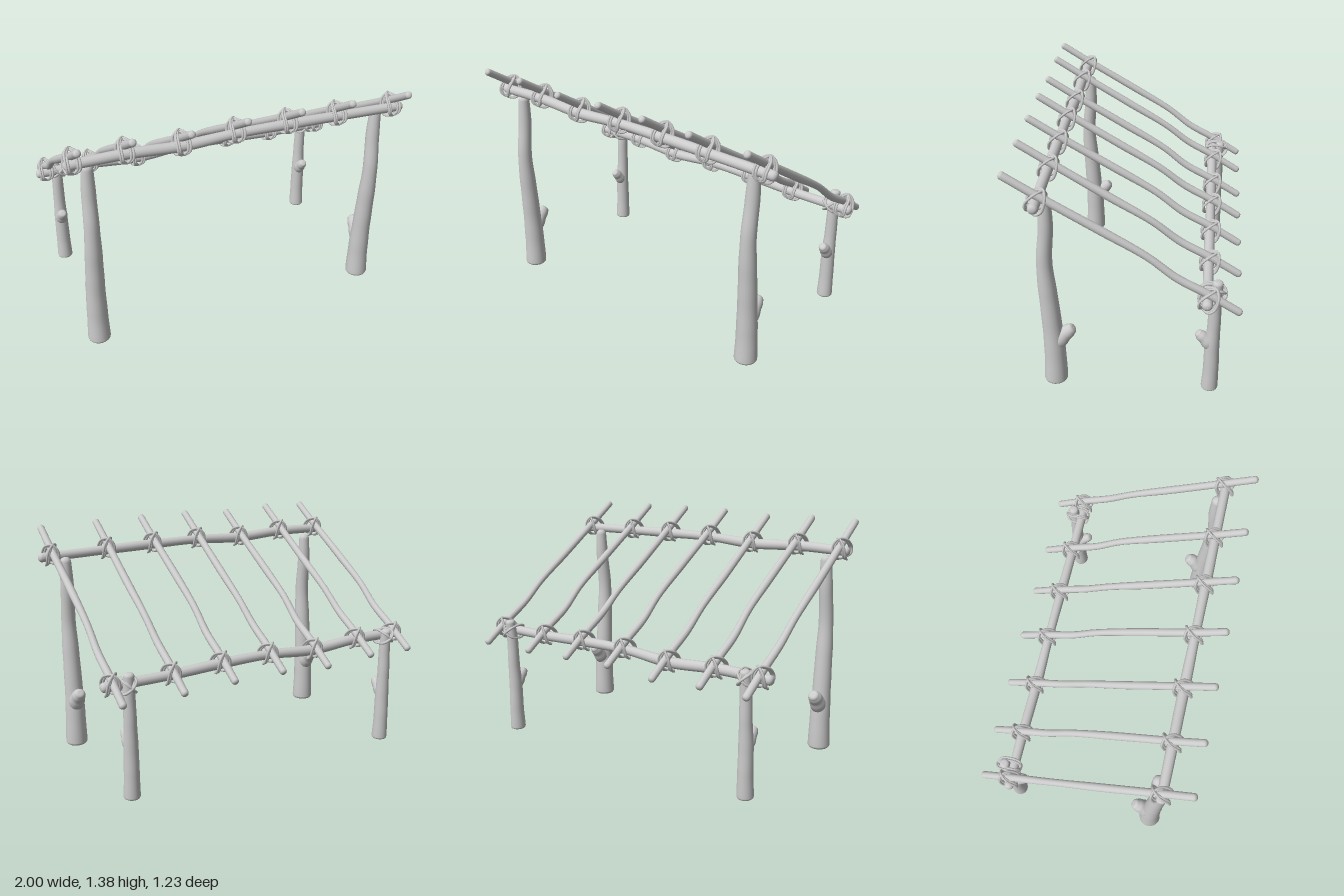
import * as THREE from 'three';

const V = (x, y, z) => new THREE.Vector3(x, y, z);
const material = new THREE.MeshStandardMaterial({ color: 0xcccccc });

// Round pole along a smooth path; radii are spread evenly, ends are bevelled (1 = fully round).
function pole(name, points, radii, { sides = 16, rings = 40, bevel = [0.8, 0.8] } = {}) {
  const curve = new THREE.CatmullRomCurve3(points);
  const length = curve.getLength();
  const radiusAt = t => {
    const f = t * (radii.length - 1), i = Math.min(Math.floor(f), radii.length - 2);
    return THREE.MathUtils.lerp(radii[i], radii[i + 1], THREE.MathUtils.smoothstep(f - i, 0, 1));
  };
  const stations = [];
  const cap = (r, b, flip) => {
    const list = [[0, 0.0005]];
    for (let k = 0; k <= 5; k++) {
      const a = k / 5 * Math.PI / 2;
      list.push([b * r * (1 - Math.cos(a)) / length, r * (1 - b + b * Math.sin(a))]);
    }
    return flip ? list.reverse().map(([t, q]) => [1 - t, q]) : list;
  };
  const head = cap(radii[0], bevel[0], false), tail = cap(radii[radii.length - 1], bevel[1], true);
  const t0 = head[head.length - 1][0], t1 = tail[0][0];
  stations.push(...head);
  for (let i = 1; i < rings; i++) {
    const t = t0 + (t1 - t0) * i / rings;
    stations.push([t, radiusAt(t)]);
  }
  stations.push(...tail);

  const ref = Math.abs(curve.getTangentAt(0.5).x) > 0.8 ? V(0, 1, 0) : V(1, 0, 0);
  const pos = [], index = [];
  stations.forEach(([t, r], i) => {
    const c = curve.getPointAt(t), tan = curve.getTangentAt(t);
    const u = ref.clone().cross(tan).normalize(), v = tan.clone().cross(u);
    for (let j = 0; j < sides; j++) {
      const a = j / sides * Math.PI * 2;
      const p = c.clone().addScaledVector(u, r * Math.cos(a)).addScaledVector(v, r * Math.sin(a));
      pos.push(p.x, p.y, p.z);
      if (i) {
        const n = (j + 1) % sides, A = (i - 1) * sides, B = i * sides;
        index.push(A + j, A + n, B + j, A + n, B + n, B + j);
      }
    }
  });
  const geo = new THREE.BufferGeometry();
  geo.setAttribute('position', new THREE.Float32BufferAttribute(pos, 3));
  geo.setIndex(index);
  geo.computeVertexNormals();
  const mesh = new THREE.Mesh(geo, material);
  mesh.name = name;
  return mesh;
}

// Crossed rope loops: w points from the rail to the tied pole, t runs along that pole.
// outline: half of the loop as [t, w], from its far end to its near end.
function lashing(name, centre, t, w, outline) {
  const group = new THREE.Group();
  group.name = name;
  const full = [...outline, ...outline.slice(1, -1).reverse().map(([a, b]) => [-a, b])];
  for (const [side, spread, grow] of [[1, 0.022, 1], [-1, 0.024, 1.05], [1, 0.036, 1.08], [-1, 0.037, 1.13]]) {
    const pts = full.map(([a, b]) => centre.clone()
      .addScaledVector(t, a * grow).addScaledVector(w, b * grow)
      .add(V(side * spread * Math.sign(a) * Math.min(1, Math.abs(a) / 0.03), 0, 0)));
    const path = new THREE.CatmullRomCurve3(pts, true);
    group.add(new THREE.Mesh(new THREE.TubeGeometry(path, 36, 0.007, 6, true), material));
  }
  return group;
}

export function createModel() {
  const model = new THREE.Group();

  // Posts, each with a cut branch stub
  [['right', -0.87], ['left', 0.835]].forEach(([side, x]) => {
    const front = new THREE.Group();
    front.name = side + 'FrontPost';
    front.add(pole('trunk', [
      V(0, 0.005, 0.402), V(0, 0.15, 0.4), V(0, 0.3, 0.404), V(0.002, 0.5, 0.415),
      V(0.005, 0.8, 0.43), V(0.008, 1.0, 0.412), V(0.012, 1.185, 0.408),
    ], [0.066, 0.06, 0.054, 0.05, 0.043, 0.04, 0.033], { sides: 20, bevel: [0.3, 0.9] }));
    front.add(pole('branchStub', [V(0, 0.25, 0.39), V(0, 0.31, 0.355), V(0, 0.35, 0.315), V(0, 0.37, 0.29)],
      [0.045, 0.049, 0.042, 0.033], { rings: 12, bevel: [0.5, 0.6] }));
    front.position.x = x;

    const back = new THREE.Group();
    back.name = side + 'BackPost';
    back.add(pole('trunk', [
      V(0, 0.005, -0.463), V(0, 0.15, -0.468), V(0, 0.3, -0.468), V(0.002, 0.45, -0.474),
      V(0.004, 0.6, -0.475), V(0.006, 0.725, -0.486),
    ], [0.047, 0.043, 0.041, 0.036, 0.034, 0.029], { sides: 20, bevel: [0.3, 0.6] }));
    back.add(pole('branchStub', [V(0, 0.29, -0.46), V(0, 0.335, -0.435), V(0, 0.365, -0.405), V(0, 0.385, -0.385)],
      [0.035, 0.038, 0.032, 0.025], { rings: 12, bevel: [0.5, 0.6] }));
    back.position.x = x;
    model.add(front, back);
  });

  // Slat positions with the rail heights beneath them
  const slatX = [-0.94, -0.66, -0.35, -0.04, 0.27, 0.575, 0.925];
  const frontY = [1.215, 1.217, 1.2, 1.212, 1.208, 1.2, 1.19];
  const backY = [0.677, 0.678, 0.657, 0.675, 0.67, 0.655, 0.65];
  const frontZ = 0.44, backZ = -0.432;

  // Wavy rails
  const rail = (name, ys, z, x0, x1) => pole(name,
    [V(x0, ys[0], z), ...slatX.map((x, i) => V(x, ys[i], z)), V(x1, ys[6] - 0.002, z)],
    [0.028, 0.03, 0.031, 0.027, 0.03, 0.028, 0.028], { rings: 60 });
  model.add(rail('frontRail', frontY, frontZ, -0.985, 1.0));
  model.add(rail('backRail', backY, backZ, -1.0, 0.98));

  // Sloping slats, tied to both rails
  const along = V(0, 0.53, 0.85), normal = V(0, 0.85, -0.53);
  const teardrop = [[0, 0.08], [0.024, 0.058], [0.038, 0.022], [0.041, -0.008], [0.026, -0.034], [0, -0.042]];
  slatX.forEach((x, i) => {
    const f = frontY[i] + 0.052, b = backY[i] + 0.05, bow = 0.004 * (i % 2 ? 1 : -1);
    model.add(pole('slat' + (i + 1), [
      V(x, f + 0.105, 0.61), V(x, f, frontZ), V(x + bow, (f + b) / 2 + 0.08, 0.12),
      V(x + bow, (f + b) / 2 - 0.065, -0.12), V(x, b + 0.09, -0.27), V(x, b, backZ), V(x, b - 0.112, -0.612),
    ], [0.021, 0.022, 0.023, 0.02, 0.022, 0.021], { sides: 12 }));
    model.add(lashing('frontLashing' + (i + 1), V(x, frontY[i], frontZ), along, normal, teardrop));
    model.add(lashing('backLashing' + (i + 1), V(x, backY[i], backZ), along, normal, teardrop));
  });

  // Ropes tying the back rail to its posts
  const wrap = [[0, 0.088], [0.026, 0.07], [0.036, 0.03], [0.036, 0], [0.024, -0.028], [0, -0.036]];
  model.add(lashing('rightPostLashing', V(-0.865, 0.677, backZ), V(0, 1, 0), V(0, 0, -1), wrap));
  model.add(lashing('leftPostLashing', V(0.841, 0.65, backZ), V(0, 1, 0), V(0, 0, -1), wrap));

  return model;
}
